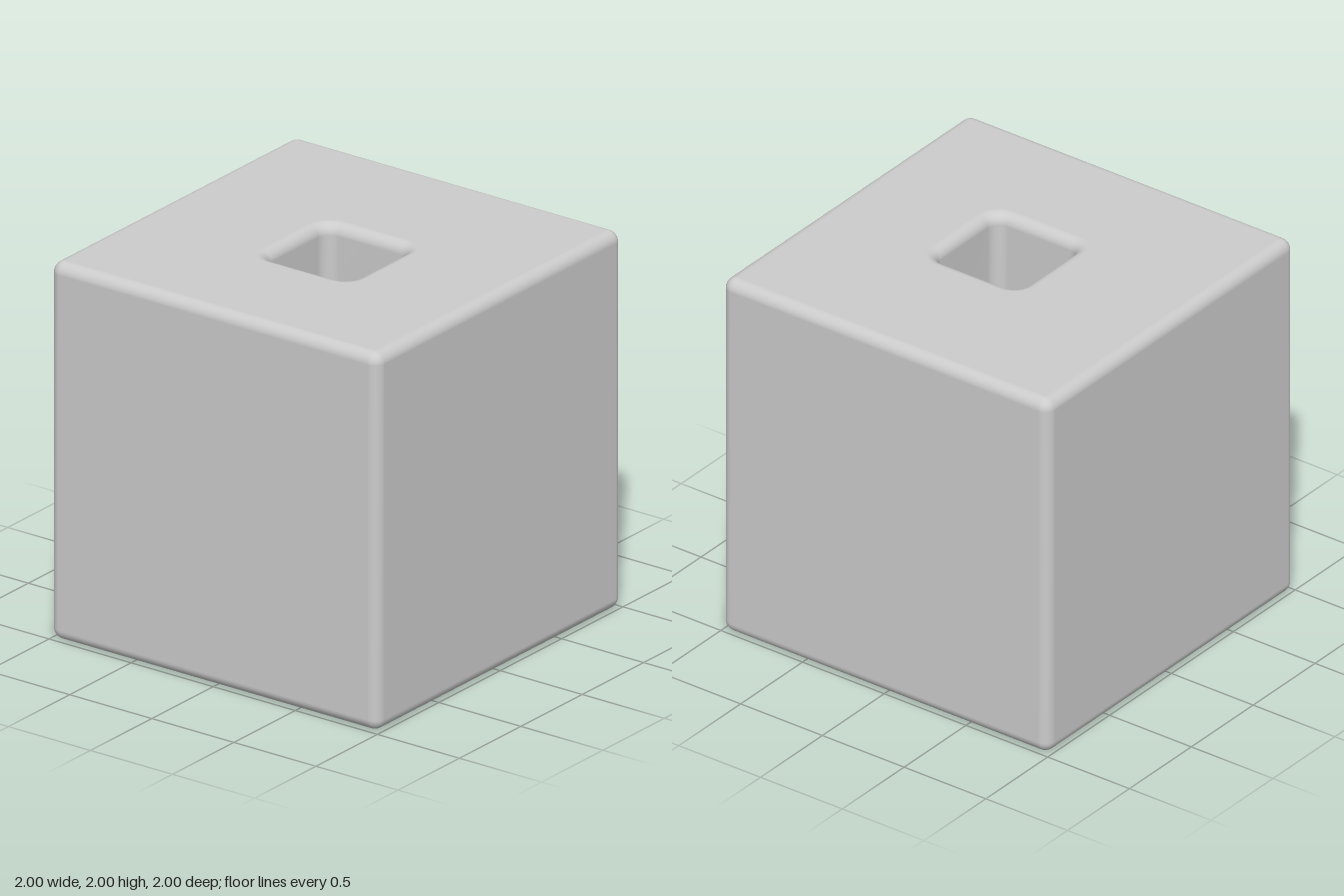
import * as THREE from 'three';
import { mergeVertices } from 'three/addons/utils/BufferGeometryUtils.js';

const EDGE = 0.06;      // radius of every rounded edge
const STEPS = 8;        // segments per quarter round
const POCKET = { x: -0.055, z: 0.05, half: 0.26, corner: 0.07, depth: 0.6 };

// Horizontal rounded square with half-width h and corner radius r
function ring({ h, r, y, x = 0, z = 0 }) {
  const points = [];
  for (let corner = 0; corner < 4; corner++) {
    const mid = Math.PI / 4 + corner * Math.PI / 2;
    const cx = Math.sign(Math.cos(mid)) * (h - r);
    const cz = Math.sign(Math.sin(mid)) * (h - r);
    for (let i = 0; i <= STEPS; i++) {
      const a = (corner + i / STEPS) * Math.PI / 2;
      points.push(new THREE.Vector3(x + cx + r * Math.cos(a), y, z + cz + r * Math.sin(a)));
    }
  }
  return points;
}

// Skin a list of rings into one smooth surface
function loft(sections) {
  const rings = sections.map(ring);
  const n = rings[0].length;
  const index = [];
  for (let i = 0; i < rings.length - 1; i++) {
    for (let j = 0; j < n; j++) {
      const a = i * n + j, b = i * n + (j + 1) % n;
      index.push(a, a + n, b, b, a + n, b + n);
    }
  }
  const geometry = new THREE.BufferGeometry().setFromPoints(rings.flat());
  geometry.setIndex(index);
  const merged = mergeVertices(geometry, 1e-5);
  merged.computeVertexNormals();
  return merged;
}

export function createModel() {
  const group = new THREE.Group();
  group.name = 'cubeWithPocket';
  const { x, z, half, corner, depth } = POCKET;
  const sections = [{ h: 0, r: 0, y: 0 }];

  // Add a quarter round, calling back with the sine and cosine of its angle
  const quarter = (make) => {
    for (let i = 0; i <= STEPS; i++) {
      const a = (i / STEPS) * Math.PI / 2;
      sections.push(make(Math.sin(a), Math.cos(a)));
    }
  };

  // Outside: bottom edge, sides, top edge
  quarter((s, c) => ({ h: 1 - EDGE + EDGE * s, r: EDGE * s, y: EDGE * (1 - c) }));
  quarter((s, c) => ({ h: 1 - EDGE + EDGE * c, r: EDGE * c, y: 2 - EDGE + EDGE * s }));

  // Pocket: rounded rim, walls, rounded floor edge
  quarter((s, c) => ({
    h: half + EDGE * (1 - s), r: corner + EDGE * (1 - s), y: 2 - EDGE * (1 - c), x, z,
  }));
  quarter((s, c) => ({
    h: half - EDGE * (1 - c), r: corner - EDGE * (1 - c), y: 2 - depth + EDGE * (1 - s), x, z,
  }));
  sections.push({ h: 0, r: 0, y: 2 - depth, x, z });

  const block = new THREE.Mesh(loft(sections), new THREE.MeshStandardMaterial({ color: 0xcccccc }));
  block.name = 'roundedBlock';
  group.add(block);
  return group;
}
